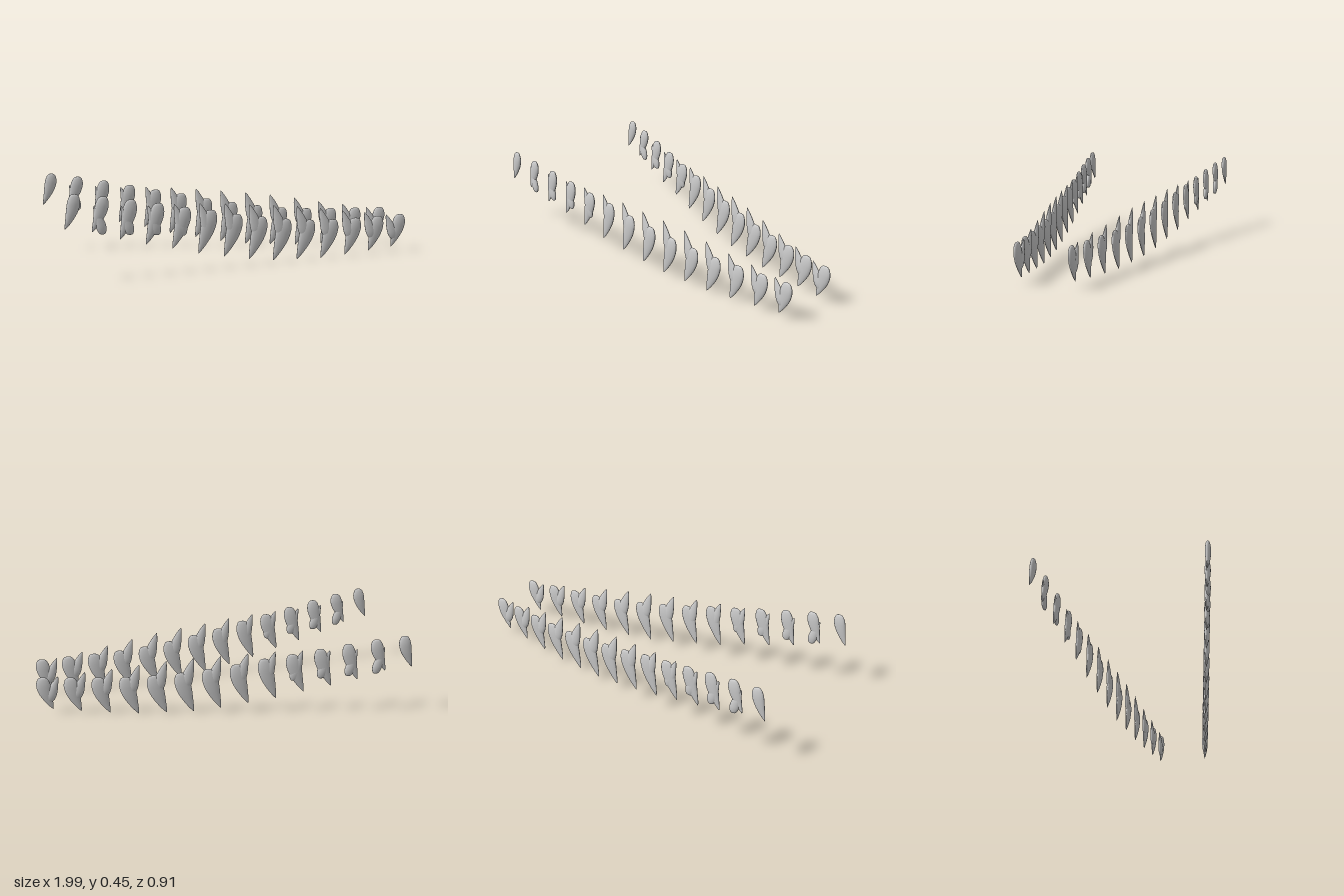
import * as THREE from 'three';
import { mergeVertices } from 'three/addons/utils/BufferGeometryUtils.js';

const material = new THREE.MeshStandardMaterial({ color: 0xcccccc });

// Half-width along a tooth: rounded root at 0, pointed tip at 1
const profile = new THREE.SplineCurve([
  [0, 0], [0.45, 0.015], [0.75, 0.08], [0.96, 0.2], [1, 0.34], [0.87, 0.54],
  [0.55, 0.76], [0.26, 0.91], [0, 1],
].map(([r, t]) => new THREE.Vector2(r, t))).getPoints(26);
profile.forEach((p) => { p.x = Math.max(p.x, 0); });

// Flattened tooth running from root to tip (both [x, y]), bowed towards +x
function tooth(name, root, tip, halfWidth, halfDepth, bow, z) {
  let geometry = new THREE.LatheGeometry(profile, 18);
  const pos = geometry.attributes.position;
  const direction = Math.sign(tip[1] - root[1]);
  for (let i = 0; i < pos.count; i++) {
    const t = pos.getY(i);
    const x = THREE.MathUtils.lerp(root[0], tip[0], t) + bow * Math.sin(Math.PI * t);
    const y = THREE.MathUtils.lerp(root[1], tip[1], t);
    pos.setXYZ(i, x + pos.getX(i) * halfWidth, y, direction * pos.getZ(i) * halfDepth);
  }
  geometry.deleteAttribute('uv');
  geometry.deleteAttribute('normal');
  geometry = mergeVertices(geometry, 1e-5);
  geometry.computeVertexNormals();
  const mesh = new THREE.Mesh(geometry, material);
  mesh.name = name;
  mesh.position.z = z;
  return mesh;
}

// Heights along the jaw, from the rear (-x) to the front (+x)
const upperRootY = [0.45, 0.43, 0.405, 0.377, 0.347, 0.322, 0.29, 0.265, 0.243, 0.227, 0.219, 0.217, 0.217, 0.217];
const upperTipY = [0.272, 0.25, 0.2, 0.163, 0.13, 0.09, 0.062, 0.035, 0.015, 0.008, 0.002, 0.008, 0.018, 0.03];
const upperTipX = [-1, -0.86, -0.715, -0.575, -0.43, -0.285, -0.137, 0.01, 0.155, 0.3, 0.45, 0.603, 0.757, 0.907];
const lowerTipY = [0, 0.385, 0.375, 0.367, 0.366, 0.36, 0.35, 0.335, 0.323, 0.307, 0.286, 0.262, 0.243, 0.22];

export function createModel() {
  const model = new THREE.Group();
  model.name = 'teeth';
  for (const side of [1, -1]) {
    const row = new THREE.Group();
    row.name = side > 0 ? 'frontToothRow' : 'backToothRow';
    for (let i = 0; i < 14; i++) {
      const z = side * (0.438 - 0.0229 * i);
      const x = -0.95 + 0.1467 * i;
      const width = 0.033 + 0.011 * Math.sin(Math.PI * Math.min(i / 16, 1));
      row.add(tooth('upperTooth', [x, upperRootY[i]], [upperTipX[i], upperTipY[i]], width, 0.0145, 0.012, z));

      // Opposing tooth; the rearmost upper tooth has none
      if (i > 0) {
        const tipX = -0.995 + 0.1437 * i;
        row.add(tooth('lowerTooth', [x - 0.002 - 0.0025 * i, 0.25 - 0.0135 * i], [tipX, lowerTipY[i]],
          width * 0.76, 0.0135, 0.006, z));
      }
    }
    model.add(row);
  }
  return model;
}
